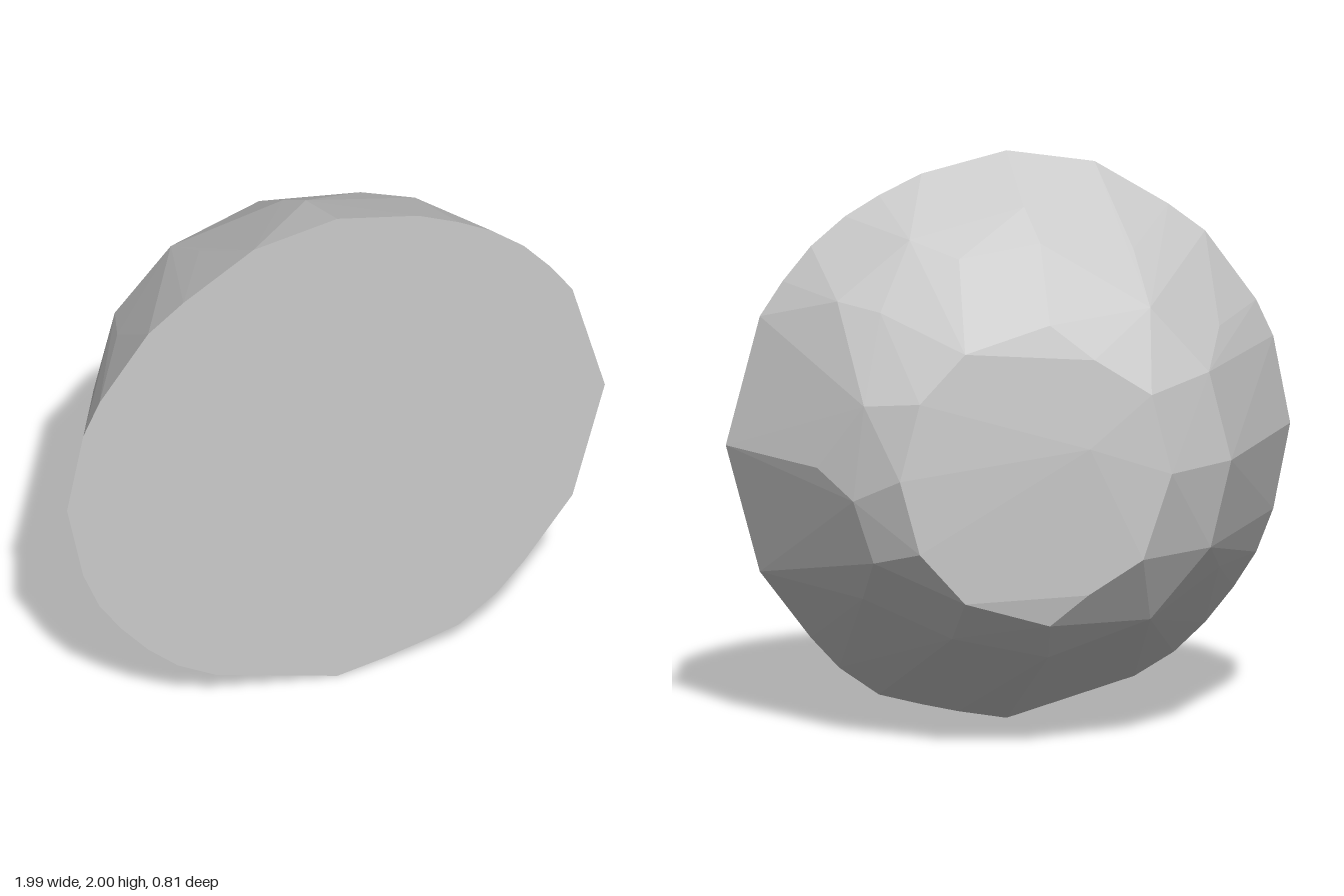
import * as THREE from 'three';
import { ConvexGeometry } from 'three/addons/geometries/ConvexGeometry.js';

// Corners of the flat front face, clockwise from the top: x, y
const rim = [
  [0, 2], [0.3, 1.93], [0.45, 1.86], [0.57, 1.79], [0.69, 1.69], [0.79, 1.57], [0.87, 1.45],
  [0.99, 1], [0.87, 0.55], [0.69, 0.31], [0.59, 0.2], [0.45, 0.1], [0.3, 0.06], [0.17, 0.03],
  [0, 0], [-0.45, 0.13], [-0.59, 0.21], [-0.7, 0.31], [-0.8, 0.43], [-0.88, 0.55], [-0.94, 0.7],
  [-1, 1], [-0.94, 1.31], [-0.88, 1.44], [-0.7, 1.69], [-0.57, 1.79], [-0.31, 1.95],
];

// Chipped bands around the sides: depth z, radius, angles in degrees from +x
const bands = [
  { z: 0.1, r: 0.86, angles: [90, 62, 40] },
  { z: 0.05, r: 0.8, angles: [118, 148, 212, -32] },
  { z: -0.05, r: 0.76, angles: [92, 70, 45, 0, -38] },
  { z: -0.2, r: 0.67, angles: [125, 152, 180, 207, 235, 268, -62, -28, -8, 21] },
];

// Shallow, slightly tilted back face: x, y, z
const back = [
  [0, 1.53, -0.35], [0.3, 1.44, -0.355], [0.46, 1.27, -0.355], [0.53, 1, -0.355],
  [0.46, 0.74, -0.355], [0.3, 0.56, -0.355], [0, 0.47, -0.35], [-0.13, 0.58, -0.38],
  [-0.32, 0.7, -0.395], [-0.42, 1, -0.4], [-0.35, 1.28, -0.395], [-0.15, 1.41, -0.39],
  [-0.13, 1.1, -0.41],
];

export function createModel() {
  const points = rim.map(([x, y]) => new THREE.Vector3(x, y, 0.405));
  for (const { z, r, angles } of bands) {
    for (const angle of angles) {
      const a = THREE.MathUtils.degToRad(angle);
      points.push(new THREE.Vector3(r * Math.cos(a), 1 + r * Math.sin(a), z));
    }
  }
  for (const p of back) points.push(new THREE.Vector3(...p));

  // One faceted boulder, cut flat at the front
  const boulder = new THREE.Mesh(
    new ConvexGeometry(points),
    new THREE.MeshStandardMaterial({ color: 0xcccccc, flatShading: true }),
  );
  boulder.name = 'boulder';

  const group = new THREE.Group();
  group.name = 'halfBoulder';
  group.add(boulder);
  return group;
}
